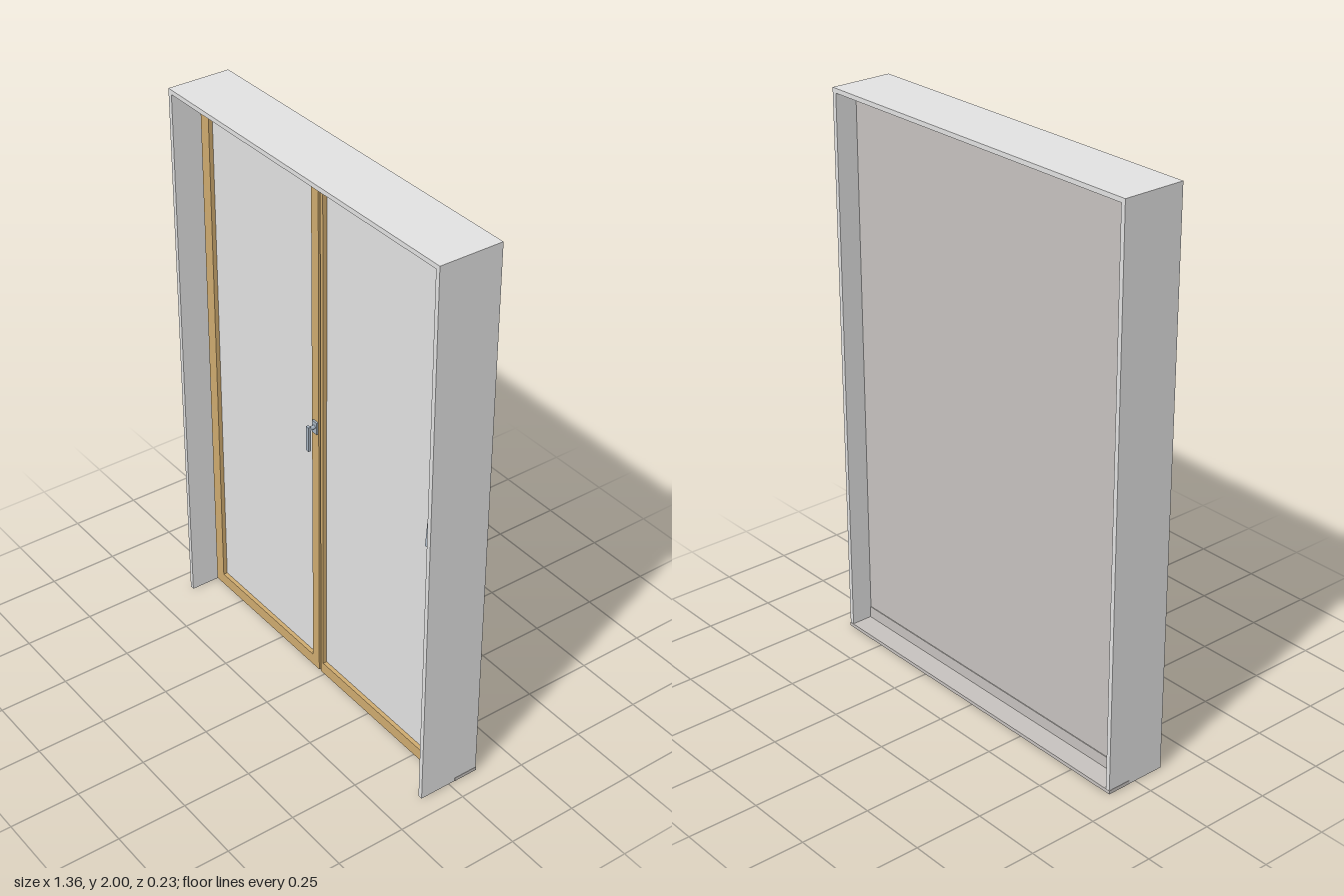
import * as THREE from 'three';

const mat = (name, color) => {
  const m = new THREE.MeshStandardMaterial({ color });
  m.name = name;
  return m;
};

export function createModel() {
  const grey = mat('lining grey', 0xe3e3e3);
  const wood = mat('wood', 0xd0ac70);
  const backing = mat('warm grey', 0xc7c3c0);
  const metal = mat('metal', 0xa9b6c4);

  const model = new THREE.Group();
  model.name = 'balconyDoor';

  // box given by its limits on each axis
  const box = (name, m, [x0, x1], [y0, y1], [z0, z1], parent = model) => {
    const mesh = new THREE.Mesh(new THREE.BoxGeometry(x1 - x0, y1 - y0, z1 - z0), m);
    mesh.position.set((x0 + x1) / 2, (y0 + y1) / 2, (z0 + z1) / 2);
    mesh.name = name;
    parent.add(mesh);
  };

  // rectangular frame: outer limits, opening limits, depth range
  const frame = (name, m, [x0, x1, y0, y1], [a0, a1, b0, b1], [z0, z1], parent = model) => {
    const rect = (C, l, r, b, t) =>
      new C([[l, b], [r, b], [r, t], [l, t]].map(([x, y]) => new THREE.Vector2(x, y)));
    const shape = rect(THREE.Shape, x0, x1, y0, y1);
    shape.holes.push(rect(THREE.Path, a0, a1, b0, b1));
    const geo = new THREE.ExtrudeGeometry(shape, { depth: z1 - z0, bevelEnabled: false });
    geo.translate(0, 0, z0);
    const mesh = new THREE.Mesh(geo, m);
    mesh.name = name;
    parent.add(mesh);
  };

  // round bar between two points
  const rod = (name, from, to, radius, parent) => {
    const a = new THREE.Vector3(...from), b = new THREE.Vector3(...to);
    const dir = b.clone().sub(a);
    const mesh = new THREE.Mesh(new THREE.CylinderGeometry(radius, radius, dir.length(), 12), metal);
    mesh.position.copy(a).add(b).multiplyScalar(0.5);
    mesh.quaternion.setFromUnitVectors(new THREE.Vector3(0, 1, 0), dir.normalize());
    mesh.name = name;
    parent.add(mesh);
  };

  // wall lining, open at the bottom front
  const X = 0.678, Z = 0.113, T = 0.016;
  for (const s of [-1, 1]) {
    const xs = s < 0 ? [-X, -X + T] : [X - T, X];
    box(s < 0 ? 'rightLining' : 'leftLining', grey, xs, [0, 2], [-Z, Z]);
  }
  box('topLining', grey, [-X + T, X - T], [2 - T, 2], [-Z, Z]);

  // outside sill and flat backing with a bottom rail
  box('sill', backing, [-X - 0.001, X + 0.001], [0, 0.013], [-Z - 0.001, -0.025]);
  box('backPanel', backing, [-X + T, X - T], [0.013, 2 - T], [-0.033, -0.027]);
  box('backBottomRail', backing, [-X + T, X - T], [0.013, 0.055], [-0.036, -0.033]);

  // fixed frame
  frame('fixedFrame', wood, [-X + T, X - T, 0, 2 - T], [-0.62, 0.595, 0.045, 1.935], [-0.027, -0.001]);

  // two sashes with panes
  const sashes = [
    ['rightSash', [-0.64, -0.01, 0.023, 1.957], [-0.597, -0.046]],
    ['leftSash', [0, 0.613, 0.023, 1.957], [0.013, 0.568]],
  ];
  for (const [name, outer, [a0, a1]] of sashes) {
    const sash = new THREE.Group();
    sash.name = name;
    frame(name + 'Frame', wood, outer, [a0, a1, 0.066, 1.912], [-0.024, 0.021], sash);
    box(name + 'Pane', grey, [a0, a1], [0.066, 1.912], [-0.022, 0.006], sash);
    model.add(sash);
  }
  box('meetingStrip', wood, [-0.01, 0], [0.023, 1.957], [-0.026, -0.001]);

  // lever handle on the meeting stile
  const handle = new THREE.Group();
  handle.name = 'leverHandle';
  box('handlePlate', metal, [-0.037, -0.013], [1.015, 1.06], [0.021, 0.028], handle);
  rod('handleNeck', [-0.025, 1.04, 0.028], [-0.025, 1.04, 0.052], 0.007, handle);
  box('handleLever', metal, [-0.032, -0.018], [0.957, 1.05], [0.046, 0.056], handle);
  model.add(handle);

  // crank hanging by the frame
  const crank = new THREE.Group();
  crank.name = 'crank';
  box('crankMount', metal, [0.634, 0.654], [1.942, 1.955], [-0.001, 0.016], crank);
  rod('crankRod', [0.643, 1.948, 0.012], [0.643, 1.19, 0.05], 0.006, crank);
  rod('crankElbow', [0.635, 1.192, 0.05], [0.657, 1.192, 0.05], 0.006, crank);
  rod('crankArm', [0.643, 1.19, 0.05], [0.643, 1.095, 0.088], 0.006, crank);
  rod('crankGrip', [0.643, 1.095, 0.088], [0.643, 1.008, 0.094], 0.008, crank);
  model.add(crank);

  return model;
}
